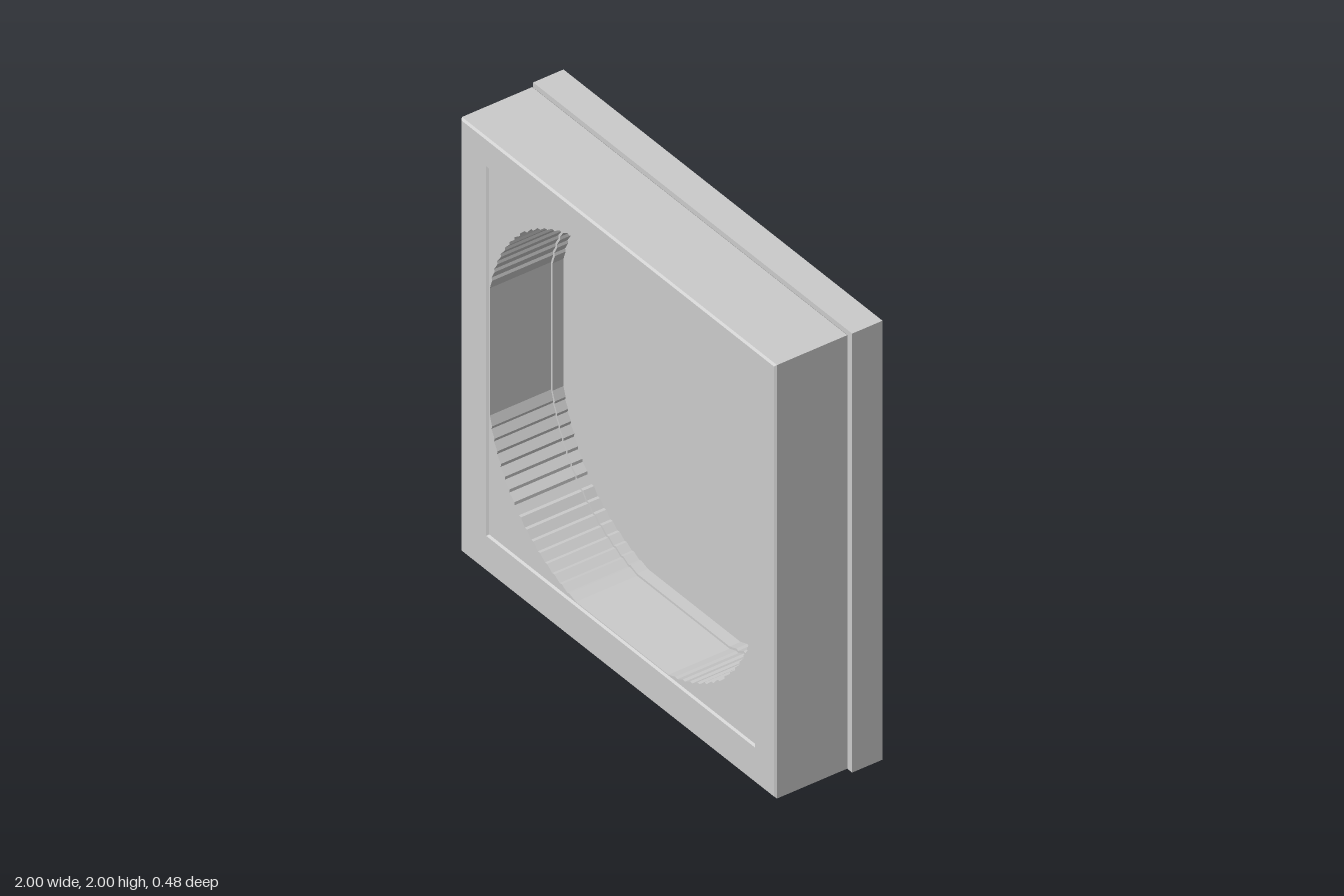
import * as THREE from 'three';

const CX = 0.01, CY = 1.015; // centre of the opening

function rect(target, x0, y0, x1, y1) {
  target.moveTo(x0, y0);
  target.lineTo(x1, y0);
  target.lineTo(x1, y1);
  target.lineTo(x0, y1);
  target.closePath();
  return target;
}

// Near-circular outline with four flats; the arcs run in small saw-tooth steps
function openingPoints(half, steps = 16) {
  const points = [];
  const flat = 0.29;
  const start = Math.atan2(flat, half);
  const rEnd = Math.hypot(flat, half);
  for (let q = 0; q < 4; q++) {
    for (let i = 0; i <= steps; i++) {
      const t = i / steps;
      const a = q * Math.PI / 2 + start + t * (Math.PI / 2 - 2 * start);
      const r = rEnd + 0.028 * Math.sin(Math.PI * t);
      const jog = i > 0 && i < steps ? 0.004 : 0;
      for (const s of jog ? [-1, 1] : [0]) {
        const b = a + s * 0.006, rr = r + s * jog * (t < 0.5 ? 1 : -1);
        const lim = (v) => THREE.MathUtils.clamp(v, -half, half);
        points.push(new THREE.Vector2(CX + lim(rr * Math.cos(b)), CY + lim(rr * Math.sin(b))));
      }
    }
  }
  return points;
}

export function createModel() {
  const group = new THREE.Group();
  const material = new THREE.MeshStandardMaterial({ color: 0xcccccc, flatShading: true });

  const add = (name, geometry, z) => {
    const mesh = new THREE.Mesh(geometry, material);
    mesh.name = name;
    mesh.position.z = z;
    group.add(mesh);
  };
  const extrude = (shape, depth) =>
    new THREE.ExtrudeGeometry(shape, { depth, bevelEnabled: false, curveSegments: 10 });

  // Back plate with four groups of four blind screw holes
  const plate = rect(new THREE.Shape(), -1, 0, 1, 2);
  for (const [gx, gy] of [[0, 1], [0, -1], [1, 0], [-1, 0]]) {
    for (const u of [-0.083, 0.083]) {
      for (const v of [-0.11, 0.11]) {
        const x = gx * 0.75 + (gx ? u : v);
        const y = 1 + gy * 0.75 + (gx ? v : u);
        plate.holes.push(new THREE.Path().absarc(x, y, 0.025, 0, Math.PI * 2, true));
      }
    }
  }
  add('backPlate', extrude(plate, 0.1), -0.24);
  const panel = new THREE.BoxGeometry(2, 2, 0.04);
  panel.translate(0, 1, 0);
  add('plateFloor', panel, -0.12);

  // Outer frame with finely chamfered edges and a square opening
  const h = 0.834, c = 0.008;
  const frame = rect(new THREE.Shape(), -0.995, 0.01, 0.98, 1.985);
  frame.holes.push(rect(new THREE.Path(), CX - h, CY - h, CX + h, CY + h));
  add('outerFrame', new THREE.ExtrudeGeometry(frame, {
    depth: 0.34 - 2 * c, bevelEnabled: true, bevelSegments: 1,
    bevelSize: c, bevelThickness: c, bevelOffset: -c,
  }), -0.1 + c);

  // Slightly recessed corner insert, and a narrow lip at its foot
  const ring = (half, depth) => {
    const shape = rect(new THREE.Shape(), CX - h, CY - h, CX + h, CY + h);
    shape.holes.push(new THREE.Path(openingPoints(half)));
    return extrude(shape, depth);
  };
  add('cornerInsert', ring(0.83, 0.282), -0.05);
  add('innerLip', ring(0.82, 0.05), -0.1);

  return group;
}
